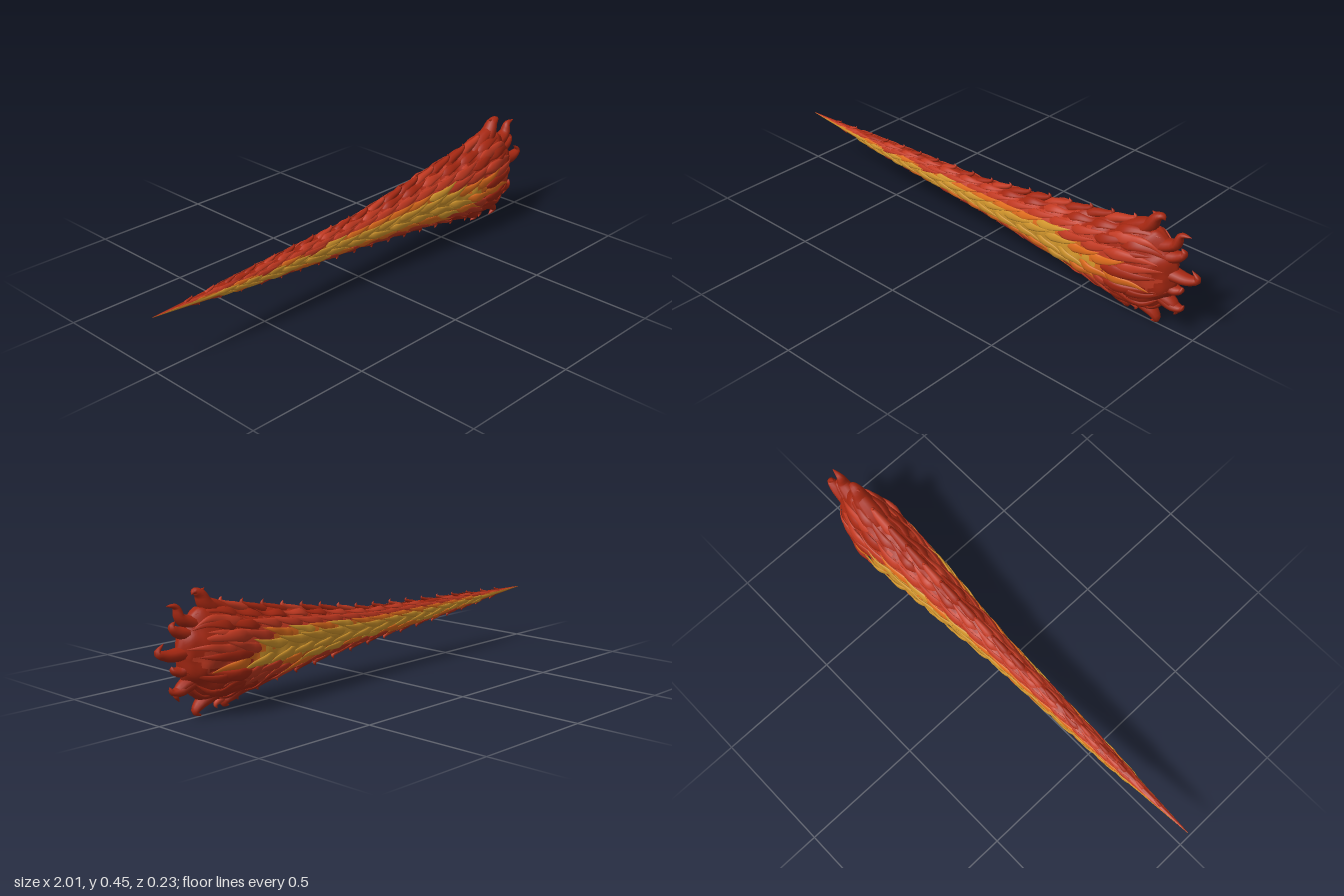
import * as THREE from 'three';

const mat = (name, color) => {
  const m = new THREE.MeshStandardMaterial({ color });
  m.name = name;
  return m;
};

// Linear interpolation in a short list of [x, value] pairs
function sample(table, x) {
  for (let i = 1; i < table.length; i++) {
    const [x0, a] = table[i - 1], [x1, b] = table[i];
    if (x <= x1) return a + (b - a) * Math.max(0, (x - x0) / (x1 - x0));
  }
  return table[table.length - 1][1];
}

// Long teardrop profile: centre height, half height, half depth
const CENTRE = [[-1, 0.22], [-0.5, 0.207], [0, 0.2], [0.4, 0.21], [0.65, 0.212], [0.8, 0.222], [1, 0.235]];
const HEIGHT = [[-1, 0.001], [-0.5, 0.034], [0, 0.062], [0.4, 0.11], [0.65, 0.15], [0.77, 0.17],
  [0.82, 0.162], [0.87, 0.13], [0.905, 0.075], [0.92, 0.001]];
const DEPTH = [[-1, 0.001], [-0.6, 0.029], [0, 0.052], [0.4, 0.086], [0.63, 0.102], [0.75, 0.097],
  [0.84, 0.072], [0.89, 0.045], [0.92, 0.001]];
const frac = v => v - Math.floor(v);

// Point on the body; angle 0 is the upper crest, PI/2 faces +z
function bodyPoint(x, angle) {
  const c = Math.cos(angle), s = Math.sin(angle);
  const chevron = 1 + 0.045 * Math.sin(2 * Math.PI * (x * 9 - Math.abs(c) * 1.3)) * Math.min(1, (x + 1) * 2)
    + 0.025 * Math.sin(7 * angle * Math.sign(Math.PI - angle) + x * 14);
  return new THREE.Vector3(x,
    sample(CENTRE, x) + sample(HEIGHT, x) * c * chevron,
    sample(DEPTH, x) * Math.sign(s) * Math.abs(s) ** 1.2 * chevron);
}

// Colour band: 0 gold, 1 orange, 2 red, 3 deep red
function band(x, c, jag) {
  const v = Math.abs(c + 0.06) + jag + Math.max(0, x - 0.48) * 2.2;
  return v < 0.36 ? 0 : v < 0.55 ? 1 : v < 0.95 ? 2 : 3;
}

// Smooth closed-section surface from rows of points; pick(i, j) chooses the material
function loft(rows, sides, pick) {
  const lists = [[], [], [], []];
  for (let i = 0; i < rows.length - 1; i++) {
    for (let j = 0; j < sides; j++) {
      const a = i * sides + j, b = i * sides + (j + 1) % sides;
      lists[pick(i, j)].push(a, b, a + sides, b, b + sides, a + sides);
    }
  }
  const geo = new THREE.BufferGeometry().setFromPoints(rows.flat());
  geo.setIndex(lists.flat());
  let start = 0;
  lists.forEach((list, k) => {
    if (list.length) geo.addGroup(start, list.length, k);
    start += list.length;
  });
  geo.computeVertexNormals();
  return geo;
}

// Curved flame lick tapering to a point: thick along "out", wide across it
function lickGeometry(points, out, width, thick, taperStart) {
  const curve = new THREE.CatmullRomCurve3(points), rows = [], n = 14, sides = 10;
  for (let i = 0; i <= n; i++) {
    const t = i / n, p = curve.getPoint(t), T = curve.getTangent(t);
    const V = new THREE.Vector3().crossVectors(T, out).normalize();
    const U = new THREE.Vector3().crossVectors(V, T).normalize();
    const r = Math.max(0.002, Math.min(1, taperStart + t * 4) * (1 - t) ** 0.8);
    rows.push(Array.from({ length: sides }, (_, j) => {
      const a = j / sides * 2 * Math.PI;
      return p.clone().addScaledVector(U, Math.cos(a) * thick * r).addScaledVector(V, Math.sin(a) * width * r);
    }));
  }
  return loft(rows, sides, () => 0);
}

export function createModel() {
  const root = new THREE.Group();
  root.name = 'flame';
  const materials = [mat('gold', 0xd3962c), mat('orange', 0xdf6c1c), mat('red', 0xc03820), mat('deepRed', 0xa52711)];
  const add = (geo, material, name, parent = root) => {
    const mesh = new THREE.Mesh(geo, material);
    mesh.name = name;
    parent.add(mesh);
  };
  let seed = 7;
  const rand = () => (seed = (seed * 16807) % 2147483647) / 2147483647;

  // Body, with jagged colour bands running along it
  const N = 220, SIDES = 48, rows = [];
  const xAt = i => -1 + 1.92 * i / N;
  for (let i = 0; i <= N; i++) {
    rows.push(Array.from({ length: SIDES }, (_, j) => bodyPoint(xAt(i), j / SIDES * 2 * Math.PI)));
  }
  add(loft(rows, SIDES, (i, j) => {
    const x = xAt(i), c = Math.cos((j + 0.5) / SIDES * 2 * Math.PI);
    return band(x, c, 0.22 * (frac(x * 9 - Math.abs(c) * 1.3) - 0.5));
  }), materials, 'body');

  // Overlapping tongues lying along both sides
  const tongues = new THREE.Group();
  tongues.name = 'sideTongues';
  root.add(tongues);
  [-0.88, -0.66, -0.42, -0.16, 0.12, 0.38, 0.62, 0.86].forEach((c, row) => {
    for (const side of [1, -1]) {
      for (let x = -0.72 + (row % 2) * 0.06; x < 0.72; x += 0.11) {
        const size = 0.3 + 0.7 * (x + 1) / 1.7, len = 0.17 * size + 0.03 * rand();
        const angle = side * Math.acos(c), drift = -Math.sign(c) * side * 0.22;
        const lift = [-0.004, 0.003, 0.005, 0.007];
        const out = new THREE.Vector3(0, c * 0.7, side * Math.sqrt(1 - c * c)).normalize();
        const pts = lift.map((h, k) => {
          const t = k / 3;
          return bodyPoint(x + len * t, angle + drift * t * t).addScaledVector(out, h * size);
        });
        const k = band(x + len * 0.4, c, 0.24 * (rand() - 0.5));
        add(lickGeometry(pts, out, 0.026 * size, 0.009 * size, 0.2), materials[k], 'tongue', tongues);
      }
    }
  });

  // Curling licks along the upper and lower crests
  const Z = new THREE.Vector3(0, 0, 1);
  const crest = new THREE.Group();
  crest.name = 'crestLicks';
  root.add(crest);
  for (const up of [1, -1]) {
    for (let i = 0; i < 17; i++) {
      const x = -0.84 + i * 0.095 + (up < 0 ? 0.03 : 0);
      if (x > 0.74) continue;
      const s = 0.3 + 0.7 * (x + 0.84) / 1.5;
      const edge = px => sample(CENTRE, px) + up * sample(HEIGHT, px);
      const e = edge(x);
      const pts = [[-0.09, -0.032], [-0.03, -0.006], [0.022, 0.011], [0.042, 0.026], [0.034, 0.042]]
        .map(([dx, dy]) => new THREE.Vector3(x + dx * s, e + up * dy * s, 0));
      add(lickGeometry(pts, Z, 0.024 * s, 0.026 * s, 0.5), materials[i % 3 === 1 ? 2 : 3], 'crestLick', crest);
    }
  }

  // Large hooked licks fanning out of the broad end
  const fan = new THREE.Group();
  fan.name = 'endLicks';
  root.add(fan);
  [
    [[0.66, 0.32], [0.74, 0.375], [0.795, 0.405], [0.812, 0.435], [0.79, 0.45]],
    [[0.74, 0.35], [0.79, 0.395], [0.81, 0.43], [0.835, 0.443], [0.847, 0.432]],
    [[0.75, 0.3], [0.85, 0.335], [0.9, 0.36], [0.915, 0.4], [0.958, 0.408]],
    [[0.78, 0.27], [0.87, 0.3], [0.915, 0.315], [0.935, 0.335], [0.92, 0.352]],
    [[0.76, 0.235], [0.88, 0.237], [0.96, 0.238], [0.998, 0.256], [0.97, 0.284]],
    [[0.78, 0.2], [0.87, 0.185], [0.91, 0.175], [0.935, 0.185], [0.94, 0.2]],
    [[0.75, 0.17], [0.85, 0.14], [0.9, 0.12], [0.925, 0.098], [0.912, 0.07]],
    [[0.78, 0.16], [0.86, 0.13], [0.91, 0.108], [0.94, 0.11], [0.952, 0.13]],
    [[0.7, 0.12], [0.78, 0.07], [0.825, 0.045], [0.845, 0.02], [0.815, 0.002]],
    [[0.62, 0.11], [0.68, 0.06], [0.71, 0.04], [0.715, 0.025], [0.69, 0.015]],
  ].forEach(path => {
    const pts = path.map(([x, y]) => new THREE.Vector3(x, y, 0));
    add(lickGeometry(pts, Z, 0.034, 0.045, 0.6), materials[3], 'endLick', fan);
  });

  // Short blunt ridges on both flanks of the broad end
  for (const side of [1, -1]) {
    [-0.75, -0.4, 0, 0.4, 0.75].forEach(c => {
      const a = side * Math.acos(c);
      const out = new THREE.Vector3(0, c * 0.6, side).normalize();
      const pts = [0.66, 0.74, 0.81, 0.87].map(x => bodyPoint(x, a).addScaledVector(out, 0.003));
      add(lickGeometry(pts, out, 0.03, 0.014, 0.2), materials[c > 0.3 ? 2 : 3], 'endRidge', fan);
    });
  }
  return root;
}
